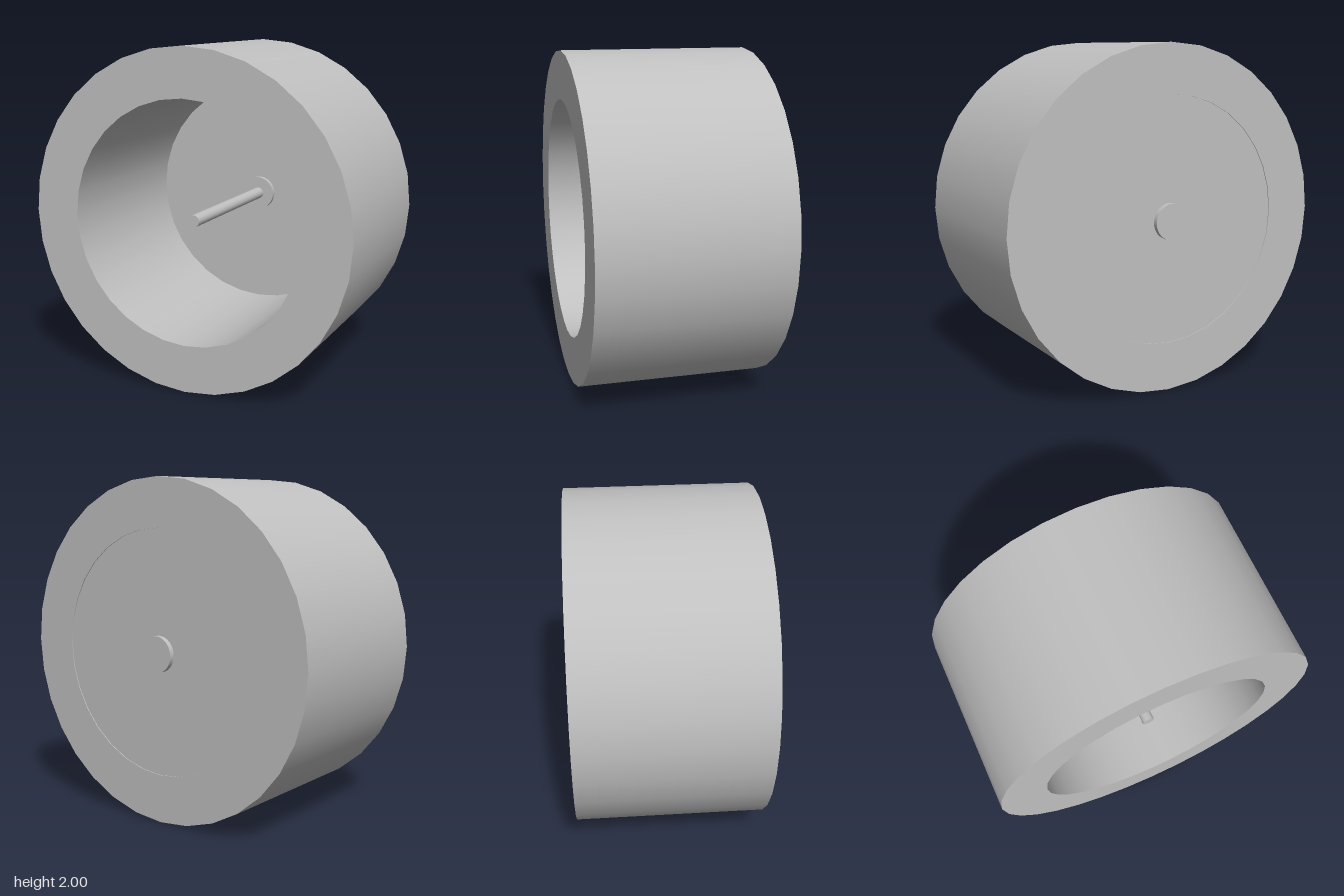
import * as THREE from 'three';
import { mergeGeometries } from 'three/addons/utils/BufferGeometryUtils.js';

const SIDES = 32;

// Revolve a profile of [radius, z] corners about the z axis;
// each straight run is its own strip, so corners stay sharp and walls smooth.
function turned(profile) {
  const strips = [];
  for (let i = 0; i < profile.length - 1; i++) {
    const run = [profile[i], profile[i + 1]].map(([r, z]) => new THREE.Vector2(r, z));
    strips.push(new THREE.LatheGeometry(run, SIDES));
  }
  return mergeGeometries(strips).rotateX(Math.PI / 2);
}

// Solid disc or rod between two z positions
const solid = (r, back, front) => turned([[0, back], [r, back], [r, front], [0, front]]);

export function createModel() {
  const group = new THREE.Group();
  const grey = new THREE.MeshStandardMaterial({ color: 0xc0c0c0 });
  grey.name = 'plain grey';

  const add = (name, geometry) => {
    const mesh = new THREE.Mesh(geometry, grey);
    mesh.name = name;
    mesh.position.y = 1;
    group.add(mesh);
  };

  const outer = 1, inner = 0.715, back = -0.54, front = 0.565;

  // Thick hollow drum
  add('drumRing', turned([[inner, back], [outer, back], [outer, front], [inner, front], [inner, back]]));
  // Back plate, set a hair inside the ring
  add('backPlate', solid(inner, back + 0.005, -0.505));
  // Hub passing through the plate
  add('hub', solid(0.105, -0.565, -0.475));
  // Axle rod reaching forward inside the drum
  add('axle', solid(0.036, -0.475, 0.44));

  return group;
}
